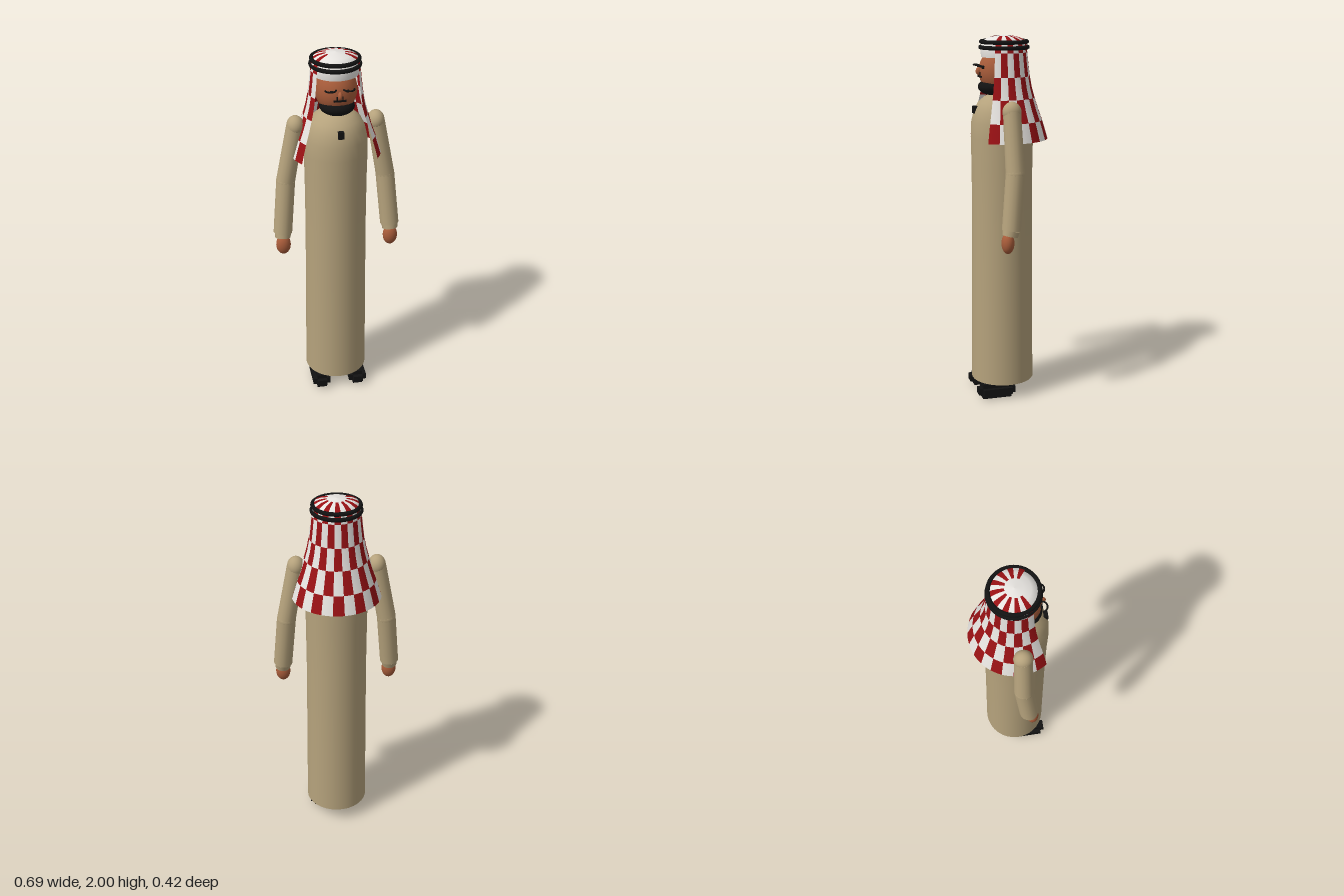
import * as THREE from 'three';
import { mergeGeometries } from 'three/addons/utils/BufferGeometryUtils.js';

const mat = (name, color, side = THREE.FrontSide) => {
  const m = new THREE.MeshStandardMaterial({ color, side });
  m.name = name;
  return m;
};
const V = (x, y, z) => new THREE.Vector3(x, y, z);
const profile = (pts) => pts.map(([r, y]) => new THREE.Vector2(r, y));

export function createModel() {
  const robe = mat('robe', 0xb5a27c, THREE.DoubleSide);
  const skin = mat('skin', 0xa85c3a);
  const black = mat('black', 0x121212);
  const red = mat('scarfRed', 0x991114, THREE.DoubleSide);
  const white = mat('scarfWhite', 0xe9e6e2, THREE.DoubleSide);

  const model = new THREE.Group();
  const add = (name, geo, material, x = 0, y = 0, z = 0, parent = model) => {
    const mesh = new THREE.Mesh(geo, material);
    mesh.name = name;
    mesh.position.set(x, y, z);
    parent.add(mesh);
    return mesh;
  };
  const ball = (name, material, x, y, z, rx, ry, rz, parent = model) => {
    const m = add(name, new THREE.SphereGeometry(1, 24, 16), material, x, y, z, parent);
    m.scale.set(rx, ry, rz);
    return m;
  };
  // tapered limb between two points
  const limb = (name, material, a, b, ra, rb, parent) => {
    const d = b.clone().sub(a);
    const m = add(name, new THREE.CylinderGeometry(rb, ra, d.length(), 16), material, 0, 0, 0, parent);
    m.position.copy(a).addScaledVector(d, 0.5);
    m.quaternion.setFromUnitVectors(V(0, 1, 0), d.normalize());
    return m;
  };

  // long robe, open at the hem
  add('robe', new THREE.LatheGeometry(profile([
    [0.173, 0.085], [0.169, 0.5], [0.165, 1.0], [0.166, 1.3], [0.169, 1.46], [0.166, 1.54],
    [0.153, 1.6], [0.13, 1.645], [0.095, 1.675], [0.06, 1.69],
  ]), 32), robe, 0, 0, 0.037);
  add('collarButton', new THREE.BoxGeometry(0.03, 0.038, 0.025), black, 0, 1.608, 0.186);

  // head, face and beard
  add('neck', new THREE.CylinderGeometry(0.06, 0.06, 0.12, 20), skin, 0, 1.7, 0.035);
  ball('head', skin, 0, 1.81, 0.04, 0.11, 0.13, 0.122);
  ball('beard', black, 0, 1.728, 0.075, 0.092, 0.047, 0.092);
  ball('nose', skin, 0, 1.812, 0.163, 0.012, 0.022, 0.018);
  add('moustache', new THREE.BoxGeometry(0.064, 0.009, 0.02), black, 0, 1.784, 0.153);
  for (const s of [-1, 1]) {
    const brow = add('brow', new THREE.TorusGeometry(0.027, 0.0045, 8, 20, Math.PI), black, s * 0.047, 1.842, 0.153);
    brow.rotation.x = Math.PI / 2;
    ball('eye', black, s * 0.04, 1.832, 0.15, 0.012, 0.007, 0.009);
    add('noseCrease', new THREE.BoxGeometry(0.005, 0.024, 0.006), black, s * 0.015, 1.797, 0.16);
  }

  // white cap under the scarf
  add('cap', new THREE.LatheGeometry(profile([
    [0.12, 1.885], [0.123, 1.91], [0.121, 1.945], [0.107, 1.972], [0.08, 1.985], [0.045, 1.994], [0.0001, 2.0],
  ]), 32), white, 0, 0, 0.027);

  // checked headscarf: rows of cells, from hem to crown, open at the face
  const rows = [
    [[0.24, 1.45], [0.224, 1.505], [0.21, 1.55]],
    [[0.21, 1.55], [0.188, 1.61], [0.169, 1.67]],
    [[0.169, 1.67], [0.154, 1.725], [0.143, 1.785]],
    [[0.143, 1.785], [0.135, 1.85], [0.129, 1.91]],
    [[0.129, 1.91], [0.125, 1.95], [0.112, 1.975], [0.085, 1.988], [0.05, 1.996]],
  ];
  const cells = 17, start = 56 * Math.PI / 180, step = (248 * Math.PI / 180) / cells;
  const checks = [[], []];
  rows.forEach((row, r) => {
    for (let c = 0; c < cells; c++) {
      checks[(r + c) % 2].push(new THREE.LatheGeometry(profile(row), 3, start + c * step, step));
    }
  });
  add('scarfRedChecks', mergeGeometries(checks[0]), red, 0, 0, 0.03);
  add('scarfWhiteChecks', mergeGeometries(checks[1]), white, 0, 0, 0.03);

  // double head cord
  for (const [y, r] of [[1.936, 0.126], [1.965, 0.122]]) {
    add('headCord', new THREE.TorusGeometry(r, 0.011, 10, 40), black, 0, y, 0.025).rotation.x = Math.PI / 2;
  }

  for (const s of [-1, 1]) {
    // arm with sleeve, cuff and hand
    const arm = new THREE.Group();
    arm.name = s > 0 ? 'leftArm' : 'rightArm';
    model.add(arm);
    const shoulder = V(s * 0.213, 1.615, 0.04), elbow = V(s * 0.27, 1.3, 0.038), wrist = V(s * 0.296, 1.005, 0.066);
    ball('shoulder', robe, shoulder.x, shoulder.y, shoulder.z, 0.046, 0.055, 0.05, arm);
    limb('upperSleeve', robe, shoulder, elbow, 0.047, 0.051, arm);
    ball('elbow', robe, elbow.x, elbow.y, elbow.z, 0.051, 0.051, 0.051, arm);
    limb('lowerSleeve', robe, elbow, wrist, 0.051, 0.051, arm);
    limb('cuff', robe, wrist, V(s * 0.298, 0.975, 0.073), 0.045, 0.042, arm);
    ball('hand', skin, s * 0.297, 0.937, 0.085, 0.04, 0.057, 0.034, arm);

    // leg and stepped shoe
    add('leg', new THREE.CylinderGeometry(0.048, 0.04, 0.7, 16), robe, s * 0.095, 0.42, 0.05);
    const shoe = new THREE.Group();
    shoe.name = 'shoe';
    shoe.position.set(s * 0.105, 0.042, 0.1);
    model.add(shoe);
    add('shoeSides', new THREE.BoxGeometry(0.1, 0.036, 0.164), black, 0, 0, 0, shoe);
    add('shoeSole', new THREE.BoxGeometry(0.054, 0.084, 0.164), black, 0, 0, 0, shoe);
    add('shoeToeAndHeel', new THREE.BoxGeometry(0.054, 0.036, 0.21), black, 0, 0, 0, shoe);
  }
  return model;
}
